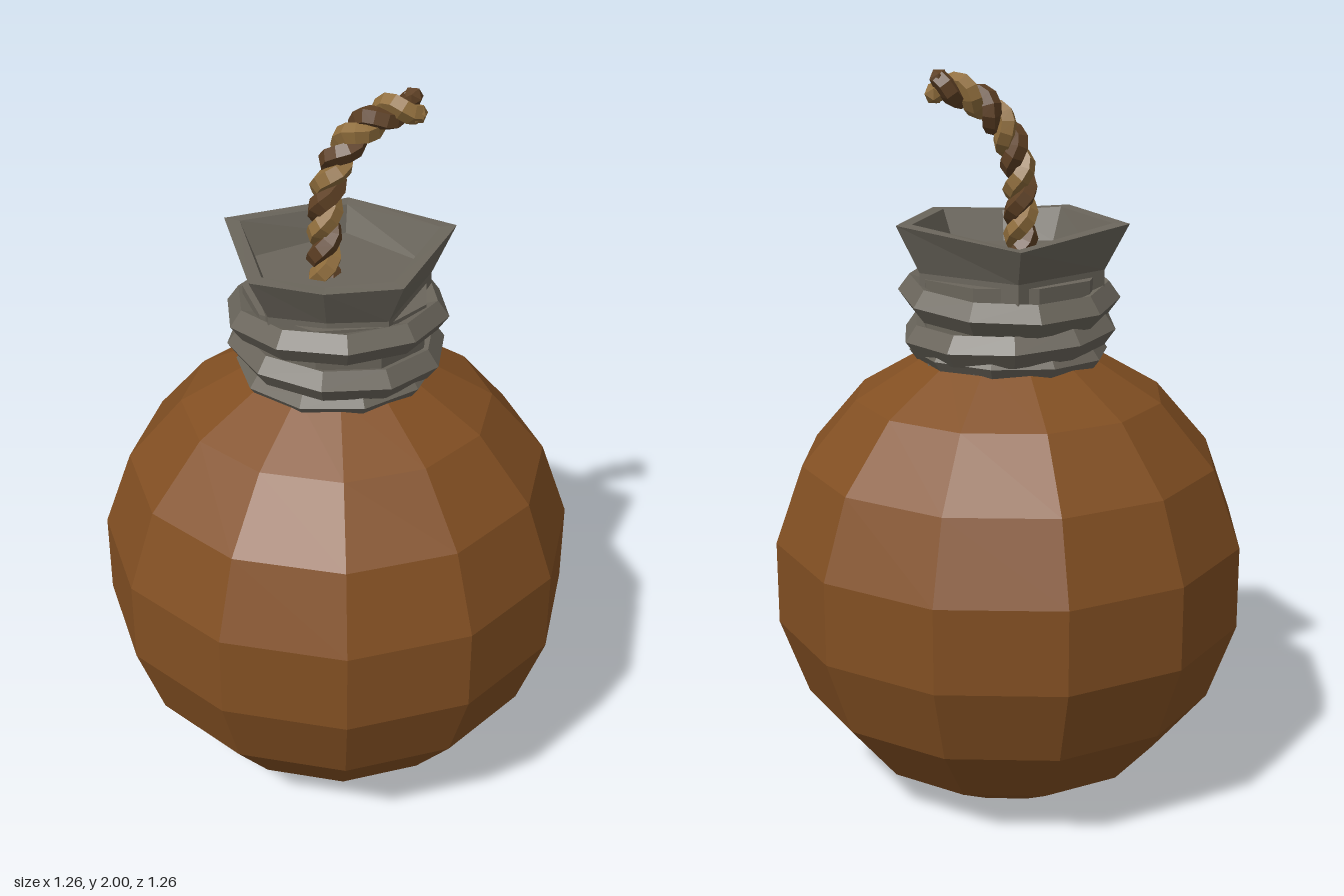
import * as THREE from 'three';

const material = (name, color) => {
  const m = new THREE.MeshStandardMaterial({ color, flatShading: true });
  m.name = name;
  return m;
};

export function createModel() {
  const clay = material('brown clay', 0x824f22);
  const cloth = material('grey cloth', 0x6b665c);
  const tan = material('tan rope', 0x8f6d3c);
  const brown = material('brown rope', 0x5e4024);
  const group = new THREE.Group();
  const add = (name, geometry, mat, parent = group) => {
    const mesh = new THREE.Mesh(geometry, mat);
    mesh.name = name;
    parent.add(mesh);
    return mesh;
  };

  // Round twelve-sided pot
  const profile = [[0, 0], [0.222, 0], [0.425, 0.115], [0.575, 0.295], [0.652, 0.51],
    [0.652, 0.74], [0.575, 0.955], [0.425, 1.13], [0.222, 1.25], [0, 1.25]]
    .map(([r, y]) => new THREE.Vector2(r, y));
  add('body', new THREE.LatheGeometry(profile, 12, Math.PI / 12), clay);

  // Neck under the cord
  add('neck', new THREE.CylinderGeometry(0.25, 0.245, 0.24, 9).translate(0, 1.345, 0), cloth);

  // Flared irregular collar: outer wall, lip, inner wall and floor
  const rim = [[-0.04, 1.575, -0.325], [0.29, 1.61, -0.14], [0.22, 1.6, 0.23],
    [0.03, 1.59, 0.285], [-0.16, 1.6, 0.285], [-0.32, 1.605, -0.06]];
  const ring = (scale, y) => rim.map(([x, top, z]) => [x * scale, y ?? top, z * scale]);
  const loops = [ring(0.8, 1.4), ring(0.8, 1.48), ring(1), ring(0.86), ring(0.73, 1.51), ring(0, 1.51)];
  const corners = [];
  for (let k = 0; k < loops.length - 1; k++) {
    for (let i = 0; i < rim.length; i++) {
      const j = (i + 1) % rim.length;
      const [a, b] = [loops[k], loops[k + 1]];
      corners.push(...a[i], ...b[i], ...b[j], ...a[i], ...b[j], ...a[j]);
    }
  }
  const collar = new THREE.BufferGeometry();
  collar.setAttribute('position', new THREE.Float32BufferAttribute(corners, 3));
  collar.computeVertexNormals();
  add('collar', collar, cloth);

  // Slightly tilted cord turns around the neck: radius, thickness, height, slope in x and z
  const turns = [[0.255, 0.046, 1.405, 0.03, 0.07], [0.25, 0.045, 1.31, -0.05, 0.03],
    [0.24, 0.032, 1.252, 0.02, -0.02]];
  turns.forEach(([radius, tube, y, slopeX, slopeZ], n) => {
    const geometry = new THREE.TorusGeometry(radius, tube, 5, 10).rotateX(Math.PI / 2).rotateY(n * 0.4);
    const p = geometry.attributes.position;
    for (let i = 0; i < p.count; i++) {
      const x = p.getX(i), z = p.getZ(i);
      p.setY(i, p.getY(i) + y + x * slopeX + z * slopeZ);
    }
    geometry.computeVertexNormals();
    add('neckCord' + (n + 1), geometry, cloth);
  });

  // Fuse: two strands twisted around a curved path
  const path = new THREE.CatmullRomCurve3([[-0.03, 1.49, 0.02], [-0.03, 1.61, 0.015],
    [-0.025, 1.74, 0.005], [0.02, 1.86, -0.015], [0.1, 1.935, -0.04], [0.185, 1.96, -0.065]]
    .map((p) => new THREE.Vector3(...p)));
  const steps = 40, twists = 4.5;
  const frames = path.computeFrenetFrames(steps, false);
  const fuse = new THREE.Group();
  fuse.name = 'fuse';
  group.add(fuse);
  [tan, brown].forEach((mat, s) => {
    const points = [];
    for (let i = 0; i <= steps; i++) {
      const angle = (i / steps) * twists * Math.PI * 2 + s * Math.PI;
      points.push(path.getPointAt(i / steps)
        .addScaledVector(frames.normals[i], Math.cos(angle) * 0.021)
        .addScaledVector(frames.binormals[i], Math.sin(angle) * 0.021));
    }
    const curve = new THREE.CatmullRomCurve3(points);
    add('fuseStrand' + (s + 1), new THREE.TubeGeometry(curve, 36, 0.028, 5), mat, fuse);
    add('fuseTip' + (s + 1), new THREE.IcosahedronGeometry(0.028, 0), mat, fuse)
      .position.copy(points[steps]);
  });

  return group;
}
